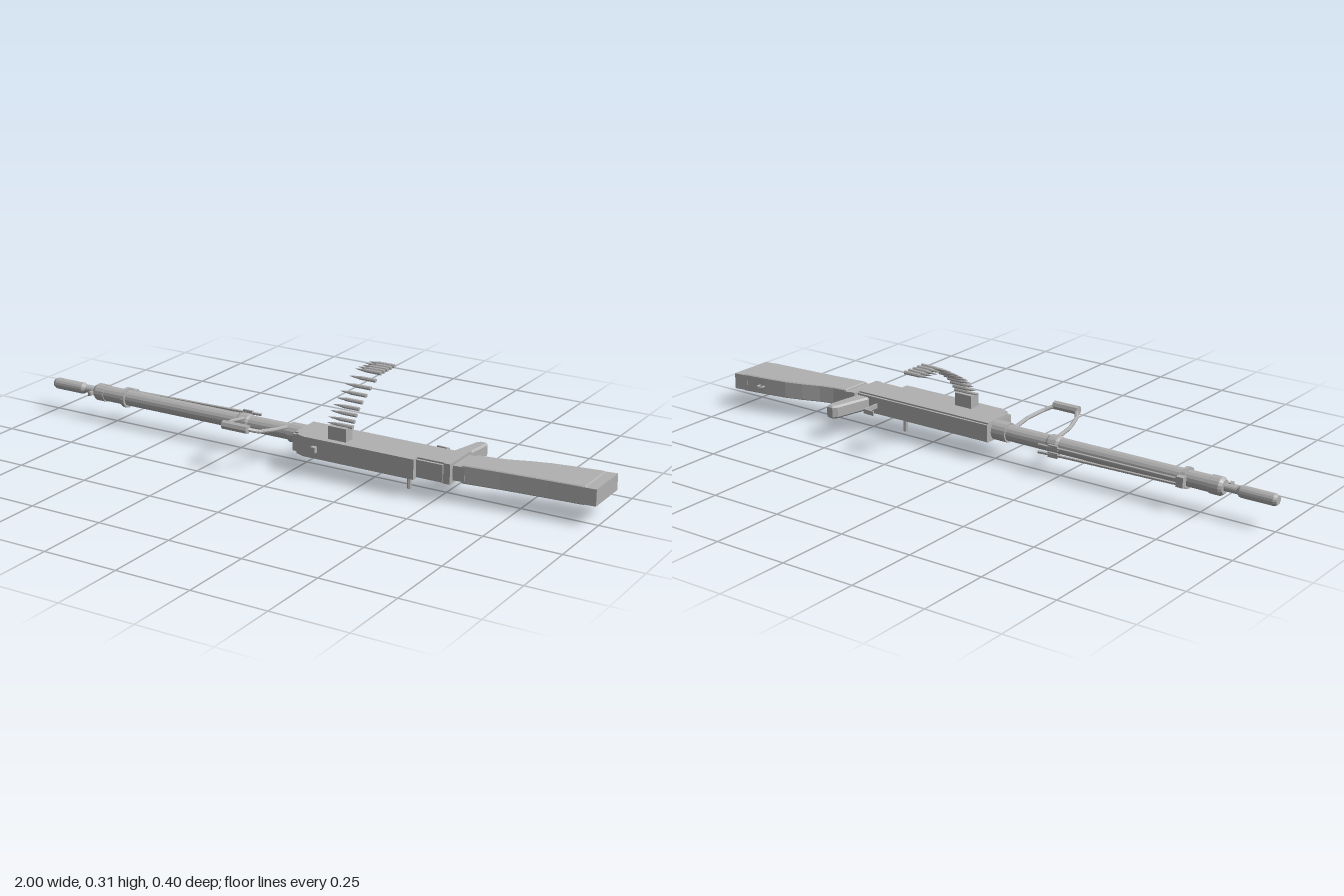
import * as THREE from 'three';

const steel = new THREE.MeshStandardMaterial({ color: 0xb0b0b0, flatShading: true });
steel.name = 'grey';
const AY = 0.0945, AZ = 0.009; // barrel axis

export function createModel() {
  const model = new THREE.Group();
  const add = (name, geo) => {
    const mesh = new THREE.Mesh(geo, steel);
    mesh.name = name;
    model.add(mesh);
    return mesh;
  };
  // Box given by its limits on each axis
  const box = (name, x0, x1, y0, y1, z0, z1) =>
    add(name, new THREE.BoxGeometry(x1 - x0, y1 - y0, z1 - z0)
      .translate((x0 + x1) / 2, (y0 + y1) / 2, (z0 + z1) / 2));
  // Outline in x,z extruded between two heights
  const slab = (name, pts, y0, y1, bevel = 0) => {
    const shape = new THREE.Shape(pts.map(p => new THREE.Vector2(...p)));
    const geo = new THREE.ExtrudeGeometry(shape, {
      depth: y1 - y0 - 2 * bevel, bevelEnabled: bevel > 0, bevelSize: bevel,
      bevelThickness: bevel, bevelOffset: -bevel, bevelSegments: 1,
    });
    return add(name, geo.rotateX(Math.PI / 2).translate(0, y1 - bevel, 0));
  };
  // Round profile [x, radius] turned about an axis along x
  const turned = (name, pts, y, z, sides = 16) =>
    add(name, new THREE.LatheGeometry(pts.map(([x, r]) => new THREE.Vector2(r, x)), sides)
      .rotateZ(-Math.PI / 2).translate(0, y, z));
  // Straight rods joined through a list of points
  const rods = (name, pts, r, sides = 8) => {
    const path = new THREE.CurvePath();
    const v = pts.map(p => new THREE.Vector3(...p));
    for (let i = 1; i < v.length; i++) path.add(new THREE.LineCurve3(v[i - 1], v[i]));
    return add(name, new THREE.TubeGeometry(path, 12, r, sides));
  };

  // Barrel, muzzle and jacket
  turned('muzzle', [[-1, 0], [-1, 0.014], [-0.99, 0.019], [-0.88, 0.019], [-0.868, 0.012],
    [-0.825, 0.012], [-0.825, 0.022], [-0.815, 0.029], [-0.78, 0.029], [-0.78, 0.025]], AY, AZ);
  turned('barrelJacket', [[-0.78, 0.026], [-0.05, 0.026]], AY, AZ);
  turned('barrelRing', [[-0.703, 0.025], [-0.703, 0.034], [-0.69, 0.034], [-0.69, 0.025]], AY, AZ);
  turned('handleClamp', [[-0.25, 0.025], [-0.24, 0.03], [-0.21, 0.03], [-0.2, 0.025]], AY, AZ);
  turned('barrelCollar', [[-0.05, 0.025], [-0.05, 0.032], [0.005, 0.032], [0.005, 0]], AY, AZ);
  box('frontSight', -0.832, -0.822, 0.088, 0.101, 0.03, 0.05);

  // Folded support legs
  for (const s of [-1, 1]) {
    rods('supportLeg', [[-0.7, AY + s * 0.008, -0.035], [-0.29, AY + s * 0.011, -0.045],
      [-0.2, AY + s * 0.012, -0.05]], 0.005, 6);
    box('supportFoot', -0.27, -0.235, AY + s * 0.012 - 0.008, AY + s * 0.012 + 0.008, -0.051, -0.043);
  }
  box('supportHinge', -0.71, -0.685, 0.078, 0.111, -0.04, -0.02);

  // Carry handle
  for (const [a, b, c] of [[-0.222, -0.203, -0.18], [-0.062, -0.078, -0.105]])
    rods('handleLeg', [[a, 0.112, 0.02], [a, 0.124, 0.09], [b, 0.135, 0.158], [c, 0.147, 0.186]], 0.0065);
  turned('carryGrip', [[-0.19, 0], [-0.19, 0.015], [-0.098, 0.015], [-0.098, 0]], 0.147, 0.187, 8);

  // Receiver
  box('receiver', 0.005, 0.53, 0.062, 0.127, -0.033, 0.078);
  box('receiverFlange', 0.002, 0.53, 0.067, 0.122, -0.041, 0.087);
  slab('topCover', [[0.02, 0.078], [0.44, 0.078], [0.44, 0.104], [0.05, 0.104], [0.02, 0.092]], 0.062, 0.127);
  box('rearSight', 0.086, 0.102, 0.085, 0.104, 0.1, 0.12);
  box('rearCollar', 0.53, 0.552, 0.062, 0.127, -0.058, 0.082);
  box('feedBlock', 0.127, 0.192, 0.12, 0.17, 0.042, 0.082);

  // Cocking handle
  box('cockingSlide', 0.31, 0.395, 0.05, 0.064, 0.021, 0.036);
  add('cockingHandle', new THREE.CylinderGeometry(0.0075, 0.0075, 0.056, 8).translate(0.386, 0.028, 0.0285));

  // Pistol grip and trigger
  slab('pistolGrip', [[0.482, -0.035], [0.5, -0.11], [0.512, -0.165], [0.524, -0.178], [0.546, -0.178],
    [0.551, -0.168], [0.548, -0.13], [0.535, -0.035]], 0.072, 0.116, 0.006);
  box('triggerGuard', 0.447, 0.453, 0.087, 0.102, -0.106, -0.035);
  slab('trigger', [[0.41, -0.11], [0.453, -0.106], [0.453, -0.1], [0.41, -0.104]], 0.087, 0.102);

  // Shoulder stock: neck, body and butt
  slab('stockNeck', [[0.55, 0.064], [0.59, 0.062], [0.59, -0.046], [0.55, -0.042]], 0.071, 0.118);
  slab('stock', [[0.58, 0.062], [0.7, 0.049], [0.85, 0.037], [0.965, 0.029], [0.965, -0.122],
    [0.88, -0.111], [0.8, -0.098], [0.74, -0.081], [0.68, -0.06], [0.63, -0.049], [0.58, -0.044]],
    0.065, 0.124, 0.003);
  slab('buttPlate', [[0.95, 0.031], [1, 0.027], [1, -0.128], [0.95, -0.121]], 0.068, 0.121);
  add('slingRing', new THREE.TorusGeometry(0.011, 0.0028, 6, 12).rotateX(Math.PI / 2).translate(0.89, AY, -0.121));

  // Cartridge belt [z, y]
  const belt = [[0.061, 0.173], [0.052, 0.188], [0.04, 0.205], [0.025, 0.221], [0.005, 0.237],
    [-0.019, 0.252], [-0.046, 0.268], [-0.076, 0.285]];
  for (let i = 0; i < 5; i++) belt.push([-0.109 - i * 0.0215, 0.3]);
  for (const [z, y] of belt)
    turned('cartridge', [[0.11, 0], [0.125, 0.003], [0.14, 0.0045], [0.152, 0.0065], [0.205, 0.0068], [0.205, 0]], y, z, 8);

  return model;
}
